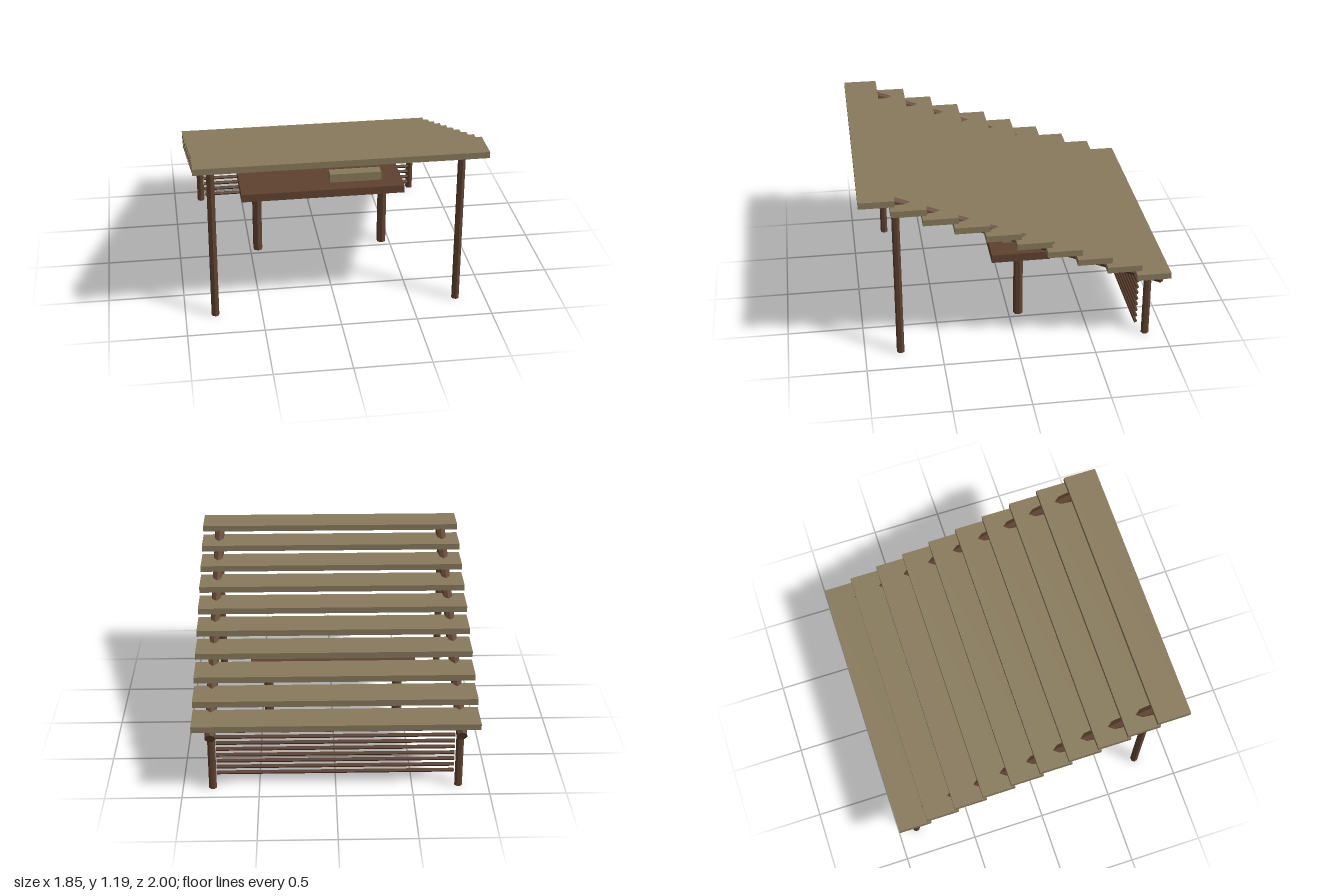
import * as THREE from 'three';

export function createModel() {
  const group = new THREE.Group();
  const plankMat = new THREE.MeshStandardMaterial({ color: 0x887a5c, flatShading: true });
  const logMat = new THREE.MeshStandardMaterial({ color: 0x5f4230, flatShading: true });

  const add = (name, geometry, material, x, y, z) => {
    const mesh = new THREE.Mesh(geometry, material);
    mesh.name = name;
    mesh.position.set(x, y, z);
    group.add(mesh);
    return mesh;
  };
  const box = (name, mat, w, h, d, x, y, z) =>
    add(name, new THREE.BoxGeometry(w, h, d), mat, x, y, z);
  const log = (name, r, length, x, y, z, sides = 7) =>
    add(name, new THREE.CylinderGeometry(r, r, length, sides), logMat, x, y, z);

  // Stepped roof planks, high at the front and low at the back
  for (let i = 0; i < 10; i++) {
    box('roofPlank', plankMat, 1.846, 0.042, 0.225, 0, 1.165 - i * 0.0738, 0.8875 - i * 0.1972);
  }

  // Sloping rafters with the posts under their ends
  const high = { y: 1.131, z: 0.815 };
  const low = { y: 0.419, z: -0.97 };
  const dy = high.y - low.y;
  const dz = high.z - low.z;
  for (const [side, x] of [['left', 0.805], ['right', -0.805]]) {
    const rafter = log(side + 'Rafter', 0.036, Math.hypot(dy, dz), x, (high.y + low.y) / 2, (high.z + low.z) / 2);
    rafter.rotation.x = -(Math.PI / 2 + Math.atan2(dy, dz));
    log(side + 'FrontPost', 0.026, 1.08, x, 0.54, 0.767);
    log(side + 'BackPost', 0.026, 0.42, x, 0.21, -0.874);
  }

  // Horizontal rails of the back screen
  for (let i = 0; i < 8; i++) {
    const rail = log('screenRail', 0.0125, 1.56, 0, 0.074 + i * 0.0446, -0.813, 6);
    rail.rotation.z = Math.PI / 2;
  }

  // Table with two log legs and a block lying on it
  box('tableTop', logMat, 1.134, 0.056, 0.39, 0, 0.508, -0.067);
  for (const x of [0.446, -0.446]) log('tableLeg', 0.033, 0.48, x, 0.24, -0.067);
  box('tableBlock', plankMat, 0.36, 0.062, 0.08, 0.24, 0.572, -0.008);

  return group;
}
